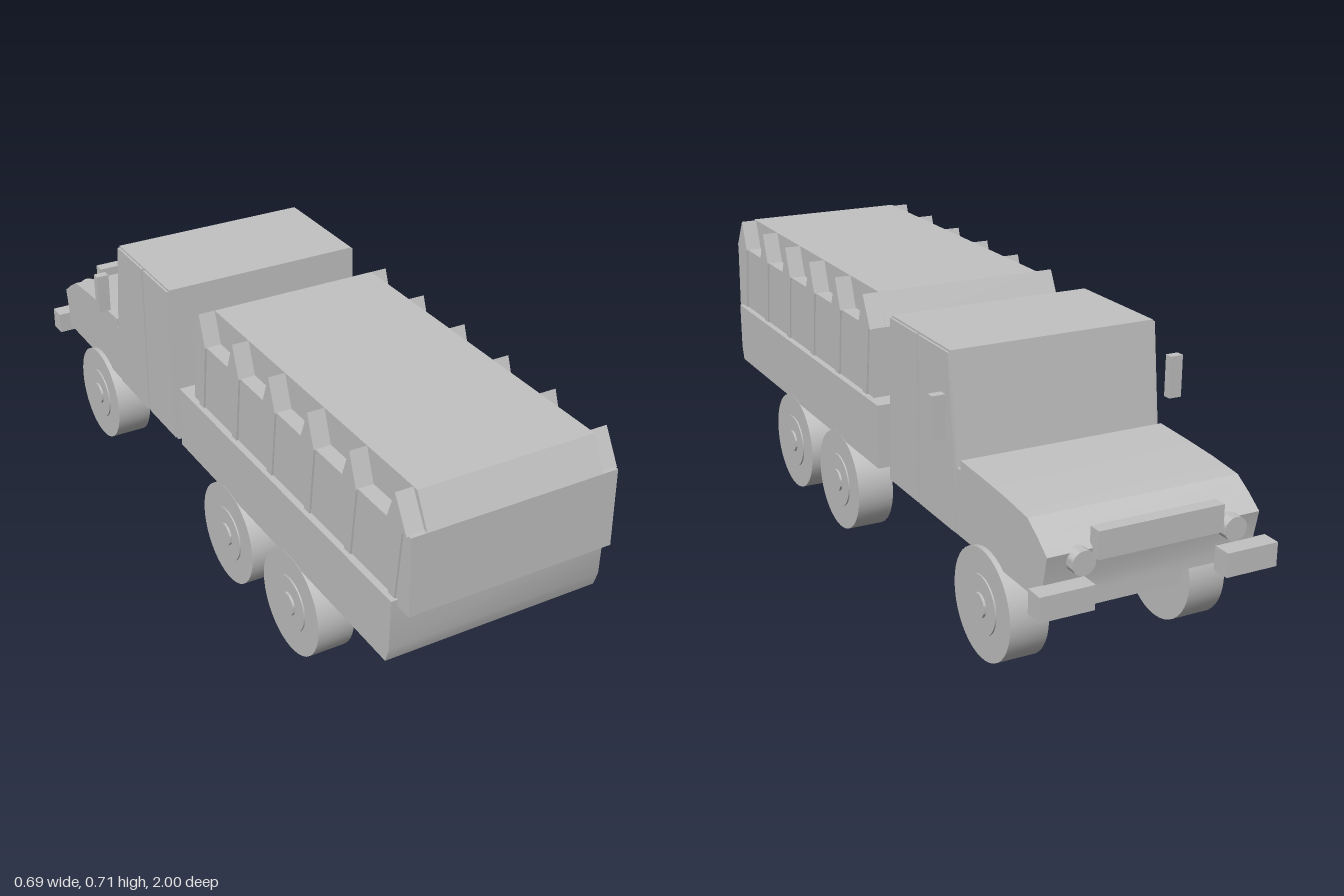
import * as THREE from 'three';
import { toCreasedNormals } from 'three/addons/utils/BufferGeometryUtils.js';

const bodyGrey = new THREE.MeshStandardMaterial({ color: 0xc2c2c2 });
bodyGrey.name = 'body grey';

export function createModel() {
  const truck = new THREE.Group();
  truck.name = 'truck';

  const add = (name, geometry, x = 0, y = 0, z = 0) => {
    const mesh = new THREE.Mesh(geometry, bodyGrey);
    mesh.name = name;
    mesh.position.set(x, y, z);
    truck.add(mesh);
    return mesh;
  };

  // Box given by its lower and upper limits on each axis
  const box = (name, x0, x1, y0, y1, z0, z1) =>
    add(name, new THREE.BoxGeometry(x1 - x0, y1 - y0, z1 - z0),
      (x0 + x1) / 2, (y0 + y1) / 2, (z0 + z1) / 2);

  // Side profile of [z, y] points, extruded across x from x0 to x1
  const profile = (name, points, x0, x1) => {
    const shape = new THREE.Shape(points.map(([z, y]) => new THREE.Vector2(-z, y)));
    const geometry = new THREE.ExtrudeGeometry(shape, { depth: x1 - x0, bevelEnabled: false });
    geometry.rotateY(Math.PI / 2);
    return add(name, toCreasedNormals(geometry, 0.35), x0, 0, 0);
  };

  // The same part on both sides
  const pair = (build) => [-1, 1].forEach(build);
  const span = (s, a, b) => (s > 0 ? [a, b] : [-b, -a]);

  // Chassis
  box('chassisFrame', -0.12, 0.12, 0.193, 0.235, -0.9, 0.76);

  // Cab with sloping windscreen, and the rounded bonnet in front of it
  profile('cab', [[-0.16, 0.255], [-0.18, 0.705], [-0.505, 0.705],
    [-0.54, 0.425], [-0.56, 0.425], [-0.56, 0.255]], -0.28, 0.28);
  profile('bonnet', [[-0.56, 0.255], [-0.56, 0.45], [-0.67, 0.446], [-0.78, 0.44],
    [-0.88, 0.43], [-0.925, 0.402], [-0.968, 0.37], [-0.95, 0.29], [-0.95, 0.255]], -0.28, 0.28);

  pair((s) => {
    // Door and rear cab panel
    const [d0, d1] = span(s, 0.28, 0.286);
    profile('door', [[-0.345, 0.26], [-0.345, 0.7], [-0.505, 0.7],
      [-0.537, 0.44], [-0.537, 0.26]], d0, d1);
    profile('rearCabPanel', [[-0.165, 0.26], [-0.183, 0.7], [-0.335, 0.7], [-0.335, 0.26]], d0, d1);

    // Mirror, bumper and headlight
    const [m0, m1] = span(s, 0.312, 0.347);
    box('mirror', m0, m1, 0.505, 0.615, -0.545, -0.522);
    const [b0, b1] = span(s, 0.175, 0.315);
    box('bumper', b0, b1, 0.237, 0.298, -1, -0.95);
    const light = new THREE.CylinderGeometry(0.03, 0.03, 0.035, 24);
    light.rotateX(Math.PI / 2);
    add('headlight', toCreasedNormals(light, 0.6), s * 0.2, 0.35, -0.973);
  });

  // Grille bar
  box('grilleBar', -0.165, 0.165, 0.35, 0.418, -0.99, -0.955);

  // Cargo bed with a slightly tucked-in lower tail
  profile('cargoBed', [[-0.11, 0.27], [-0.11, 0.445], [0.955, 0.445],
    [0.953, 0.31], [0.94, 0.27]], -0.293, 0.293);

  // Canvas cover: wide lower body and a narrower raised roof
  profile('coverBody', [[-0.05, 0.44], [-0.045, 0.632], [0.995, 0.632], [1, 0.427],
    [0.955, 0.427], [0.955, 0.44]], -0.276, 0.276);
  profile('coverRoof', [[-0.045, 0.63], [0, 0.715], [0.95, 0.715], [0.995, 0.63]], -0.235, 0.235);

  // Hoops: a peaked cap above a strap that narrows downwards
  for (let i = 0; i < 6; i++) {
    const z = i * 0.187;
    const front = i === 0 ? 0.044 : 0.032;
    const rear = i === 5 ? 0.05 : 0.032;
    pair((s) => {
      const [c0, c1] = span(s, 0.23, 0.281);
      profile('hoopCap', [[z - front, 0.63], [z, 0.715], [z + rear, 0.63]], c0, c1);
      const [p0, p1] = span(s, 0.27, 0.281);
      profile('hoopStrap', [[z - 0.012, 0.44], [z - 0.032, 0.632],
        [z + 0.032, 0.632], [z + 0.012, 0.44]], p0, p1);
    });
  }

  // Wheels: tyre, rim and hub turned as one stepped profile
  const wheelPoints = [[0, 0.193], [0.14, 0.193], [0.14, 0.294], [0.075, 0.294],
    [0.075, 0.298], [0.031, 0.298], [0.031, 0.304], [0, 0.304]]
    .map(([r, x]) => new THREE.Vector2(r, x));
  const wheel = toCreasedNormals(new THREE.LatheGeometry(wheelPoints, 40), 0.6);
  for (const z of [-0.695, 0.163, 0.505]) {
    pair((s) => {
      add('wheel', wheel, 0, 0.14, z).rotation.z = -s * Math.PI / 2;
    });
  }

  return truck;
}
